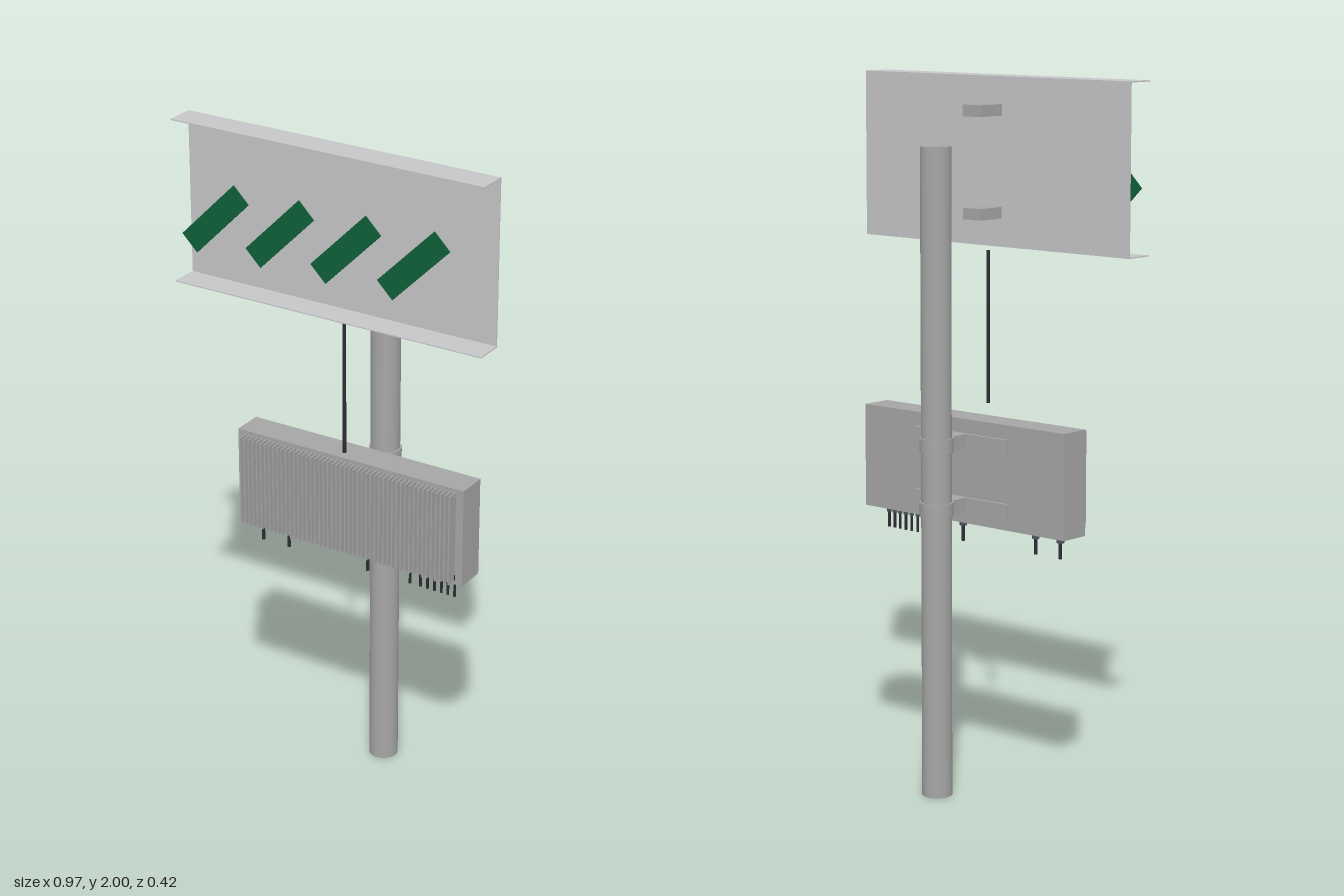
import * as THREE from 'three';

const mat = (name, color) => {
  const m = new THREE.MeshStandardMaterial({ color });
  m.name = name;
  return m;
};

export function createModel() {
  const grey = mat('galvanised grey', 0xa6a6a6);
  const sheet = mat('light sheet grey', 0xc6c5c8);
  const green = mat('panel green', 0x0f6038);
  const dark = mat('cable black', 0x2c2d33);
  const steel = mat('dark steel', 0x50515c);

  const model = new THREE.Group();
  model.name = 'poleMountedUnit';

  const add = (parent, name, geometry, material, x, y, z) => {
    const mesh = new THREE.Mesh(geometry, material);
    mesh.name = name;
    mesh.position.set(x, y, z);
    parent.add(mesh);
    return mesh;
  };
  // Box given by its limits on each axis
  const box = (parent, name, material, [x0, x1], [y0, y1], [z0, z1]) =>
    add(parent, name, new THREE.BoxGeometry(x1 - x0, y1 - y0, z1 - z0), material,
      (x0 + x1) / 2, (y0 + y1) / 2, (z0 + z1) / 2);
  // Upright cylinder from y0 to y1
  const post = (parent, name, material, r, x, y0, y1, z, sides = 12) =>
    add(parent, name, new THREE.CylinderGeometry(r, r, y1 - y0, sides), material, x, (y0 + y1) / 2, z);
  const group = (name) => {
    const g = new THREE.Group();
    g.name = name;
    model.add(g);
    return g;
  };

  // Pole
  const poleZ = -0.163;
  post(model, 'pole', grey, 0.0425, 0, 0, 1.82, poleZ, 40);

  // Upper panel: thin channel sheet open to the front
  const panel = group('antennaPanel');
  const w = [-0.483, 0.483];
  box(panel, 'backSheet', sheet, w, [1.53, 2], [0.072, 0.075]);
  box(panel, 'topFlange', sheet, w, [1.997, 2], [0.075, 0.156]);
  box(panel, 'bottomFlange', sheet, w, [1.53, 1.533], [0.075, 0.156]);
  for (const y of [1.625, 1.908])
    box(panel, 'mountBlock', grey, [-0.033, 0.033], [y - 0.016, y + 0.016], [-0.016, 0.072]);

  // Four slanted green plates on stand-off rods
  for (let i = 0; i < 4; i++) {
    const x = -0.308 + i * 0.2053;
    const rod = add(panel, 'standOff', new THREE.CylinderGeometry(0.006, 0.006, 0.135, 12), steel, x, 1.767, 0.1415);
    rod.rotation.x = Math.PI / 2;
    const plate = add(panel, 'slantedPlate', new THREE.BoxGeometry(0.24, 0.066, 0.003), green, x, 1.767, 0.2085);
    plate.rotation.z = Math.PI / 4;
  }

  // Feeder cable between panel and cabinet
  post(model, 'feederCable', dark, 0.005, 0, 1.09, 1.52, 0.053);

  // Cabinet with cooling fins
  const cabinet = group('radioCabinet');
  box(cabinet, 'cabinetBody', grey, [-0.37, 0.37], [0.765, 1.06], [-0.058, 0.033]);
  const fins = 50;
  for (let i = 0; i < fins; i++) {
    const x = -0.344 + (i * 0.688) / (fins - 1);
    box(cabinet, 'coolingFin', grey, [x - 0.002, x + 0.002], [0.777, 1.05], [0.033, 0.065]);
  }

  // Status lights low on the front
  box(cabinet, 'statusStrip', dark, [0.29, 0.348], [0.779, 0.795], [0.033, 0.036]);
  for (let i = 0; i < 4; i++)
    box(cabinet, 'statusLight', green, [0.297 + i * 0.013, 0.303 + i * 0.013], [0.784, 0.79], [0.036, 0.038]);

  // Clamps holding the cabinet to the pole
  for (const y of [0.82, 1.0]) {
    const span = [y - 0.02, y + 0.02];
    box(cabinet, 'mountRail', grey, [-0.17, 0.17], span, [-0.067, -0.058]);
    box(cabinet, 'clampArm', grey, [-0.022, 0.022], span, [-0.13, -0.067]);
    post(cabinet, 'clampCollar', grey, 0.047, 0, span[0], span[1], poleZ, 40);
  }

  // Cable glands and tails under the cabinet
  const connector = (x, nut, cable) => {
    post(cabinet, 'cableGland', steel, nut, x, 0.745, 0.765, -0.01, 12);
    post(cabinet, 'cableTail', dark, cable, x, 0.7, 0.745, -0.01, 10);
  };
  for (const x of [-0.318, -0.23, 0.037]) connector(x, 0.011, 0.005);
  for (const x of [0.178, 0.212, 0.235, 0.258, 0.28, 0.301, 0.323]) connector(x, 0.007, 0.004);

  return model;
}
